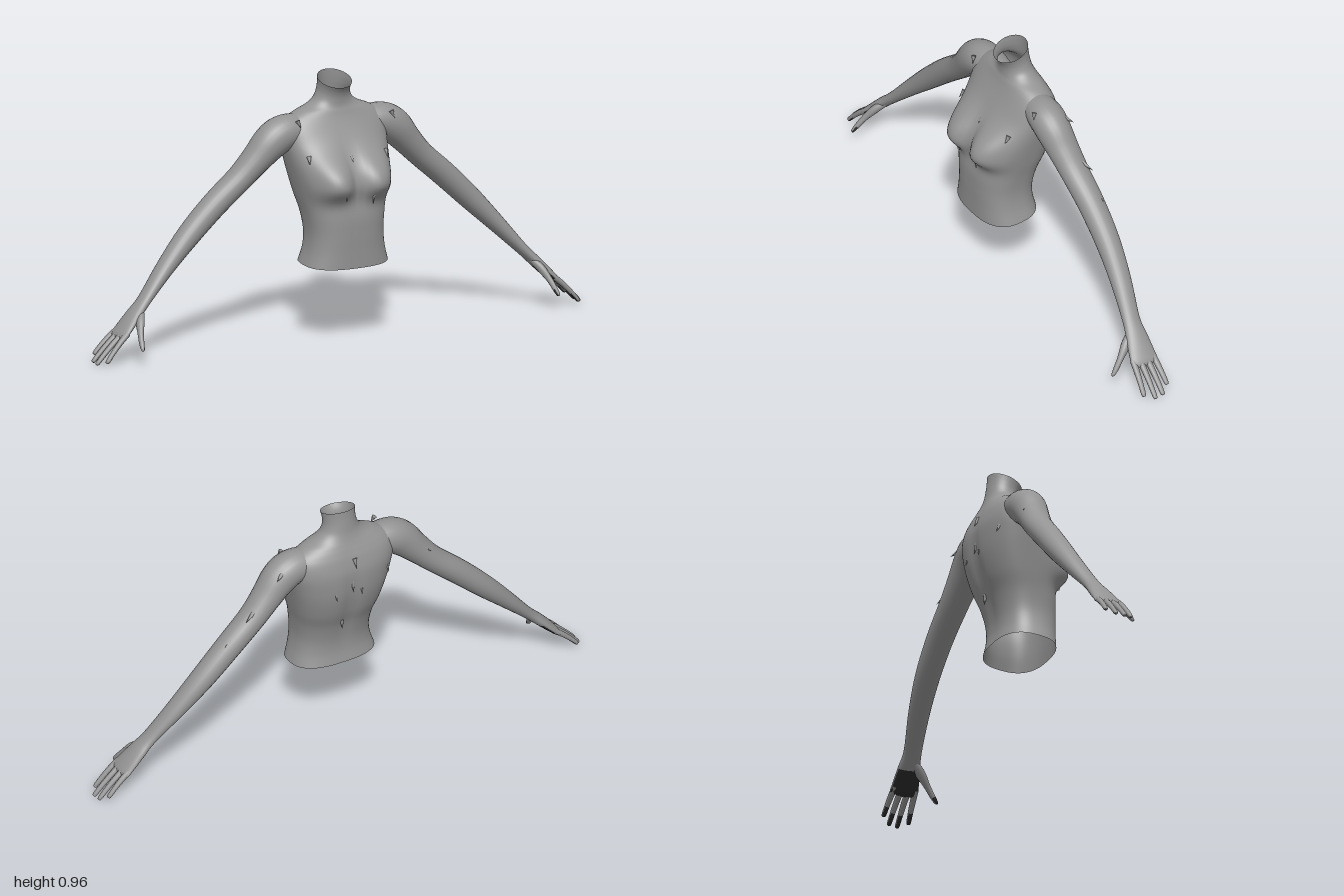
import * as THREE from 'three';

const skin = new THREE.MeshStandardMaterial({ color: 0x939393, side: THREE.DoubleSide });
skin.name = 'matte grey';
const pad = new THREE.MeshStandardMaterial({ color: 0x2c2c2c, side: THREE.DoubleSide });
pad.name = 'dark grip';

// Smooth interpolation through rows of numbers, u from 0 to 1
function sample(rows, u) {
  const last = rows.length - 1;
  const i = Math.min(Math.floor(u * last), last - 1);
  const t = u * last - i;
  const at = k => rows[Math.max(0, Math.min(last, k))];
  return rows[i].map((_, c) => {
    const a = at(i - 1)[c], b = at(i)[c], d = at(i + 1)[c], e = at(i + 2)[c];
    return b + 0.5 * t * (d - a + t * (2 * a - 5 * b + 4 * d - e + t * (3 * (b - d) + e - a)));
  });
}

// Skin of rings; point(u, angle) gives each vertex, isPad(u, angle) picks the dark faces
function loft(rings, sides, point, isPad = () => false) {
  const pos = [], plain = [], dark = [];
  for (let i = 0; i <= rings; i++) {
    for (let j = 0; j < sides; j++) {
      pos.push(...point(i / rings, (j / sides) * Math.PI * 2));
      if (i === rings) continue;
      const a = i * sides + j, b = i * sides + (j + 1) % sides;
      const list = isPad((i + 0.5) / rings, ((j + 0.5) / sides) * Math.PI * 2) ? dark : plain;
      list.push(a, b, a + sides, b, b + sides, a + sides);
    }
  }
  const g = new THREE.BufferGeometry();
  g.setAttribute('position', new THREE.Float32BufferAttribute(pos, 3));
  g.setIndex([...plain, ...dark]);
  g.addGroup(0, plain.length, 0);
  if (dark.length) g.addGroup(plain.length, dark.length, 1);
  g.computeVertexNormals();
  return g;
}

function add(group, name, geometry, material = skin) {
  const mesh = new THREE.Mesh(geometry, material);
  mesh.name = name;
  group.add(mesh);
  return mesh;
}

// Limb through rows of x, y, z, thickness radius, breadth radius;
// the palm side is dark between padStart and padEnd
function limb(rows, side, rings, sides, padStart, padEnd) {
  const Z = new THREE.Vector3(0, 0, 1);
  const centre = u => {
    const r = sample(rows, u);
    return new THREE.Vector3(r[0] * side, r[1], r[2]);
  };
  const point = (u, a) => {
    const r = sample(rows, u);
    const t = centre(Math.min(1, u + 0.01)).sub(centre(Math.max(0, u - 0.01))).normalize();
    const n = new THREE.Vector3().crossVectors(Z, t).normalize();
    const m = new THREE.Vector3().crossVectors(t, n);
    return centre(u)
      .addScaledVector(n, Math.max(0, r[3]) * Math.cos(a))
      .addScaledVector(m, Math.max(0, r[4]) * Math.sin(a)).toArray();
  };
  return loft(rings, sides, point,
    (u, a) => u > padStart && u < padEnd && side * Math.cos(a) < -0.3);
}

// Torso rows: y, half width, front z, back z, tilt of the ring
const torsoRows = [
  [0.285, 0.166, 0.135, -0.09, -0.09],
  [0.34, 0.15, 0.136, -0.082, -0.04],
  [0.40, 0.144, 0.138, -0.085, 0],
  [0.47, 0.152, 0.137, -0.103, 0],
  [0.54, 0.168, 0.122, -0.132, 0],
  [0.61, 0.183, 0.108, -0.152, 0],
  [0.67, 0.195, 0.088, -0.16, 0],
  [0.73, 0.204, 0.058, -0.16, 0],
  [0.78, 0.202, 0.032, -0.148, 0],
  [0.81, 0.185, 0.018, -0.136, 0],
  [0.832, 0.15, 0.01, -0.126, 0],
  [0.85, 0.106, 0.005, -0.118, -0.03],
  [0.87, 0.077, 0.004, -0.111, -0.1],
  [0.895, 0.064, 0.006, -0.106, -0.2],
  [0.92, 0.061, 0.013, -0.102, -0.3],
  [0.943, 0.063, 0.025, -0.1, -0.36],
];

function torsoPoint(u, a) {
  const [y0, w, front, back, tilt] = sample(torsoRows, u);
  const s = Math.sin(a), c = Math.cos(a);
  const box = 2 / (2 + 0.6 * THREE.MathUtils.smoothstep(0.86 - y0, 0, 0.1));
  const x = w * Math.sign(s) * Math.abs(s) ** box;
  const dz = (front - back) / 2 * Math.sign(c) * Math.abs(c) ** box;
  let z = (front + back) / 2 + dz;
  if (c > 0) { // bust
    const h = Math.abs(x) - 0.085;
    const across = Math.abs(h / (h > 0 ? 0.085 : 0.074)) ** 2.5;
    const v = Math.abs((y0 - 0.59) / (y0 > 0.59 ? 0.092 : 0.06)) ** 2.3;
    z += 0.07 * Math.min(1, c * 2.5) * Math.exp(-across - v);
  } else { // spine hollow
    z += 0.012 * Math.exp(-((x / 0.028) ** 2) - (((y0 - 0.58) / 0.16) ** 2));
  }
  return [x, y0 + tilt * dz, z];
}

const armRows = [
  [0.07, 0.775, -0.055, 0.04, 0.045],
  [0.14, 0.77, -0.055, 0.056, 0.058],
  [0.205, 0.762, -0.054, 0.065, 0.066],
  [0.255, 0.732, -0.055, 0.065, 0.065],
  [0.31, 0.675, -0.062, 0.054, 0.059],
  [0.374, 0.61, -0.07, 0.047, 0.054],
  [0.475, 0.522, -0.077, 0.046, 0.05],
  [0.58, 0.422, -0.077, 0.042, 0.046],
  [0.68, 0.32, -0.066, 0.032, 0.04],
  [0.78, 0.213, -0.046, 0.021, 0.034],
  [0.83, 0.163, -0.039, 0.02, 0.043],
  [0.872, 0.12, -0.033, 0.017, 0.051],
  [0.898, 0.094, -0.03, 0.012, 0.05],
  [0.906, 0.086, -0.03, 0, 0],
];

// Fingers: base z, tip x, tip y, tip z
const fingers = [
  [0.01, 0.973, 0.014, 0.023],
  [-0.016, 0.996, 0.004, -0.012],
  [-0.043, 0.994, 0.007, -0.045],
  [-0.07, 0.972, 0.027, -0.076],
];

const thumbRows = [
  [0.805, 0.18, -0.035, 0.012, 0.016],
  [0.826, 0.15, 0.005, 0.015, 0.019],
  [0.843, 0.113, 0.04, 0.011, 0.012],
  [0.853, 0.08, 0.067, 0.009, 0.01],
  [0.857, 0.062, 0.083, 0.006, 0.006],
  [0.858, 0.059, 0.086, 0, 0],
];

function arm(side) {
  const g = new THREE.Group();
  g.name = side > 0 ? 'leftArm' : 'rightArm';
  const coats = [skin, pad];
  add(g, 'armAndPalm', limb(armRows, side, 65, 24, 0.77, 0.95), coats);
  fingers.forEach(([bz, x, y, z], i) => {
    const rows = [0, 0.35, 0.7, 0.97, 1].map((t, k) => {
      const r = [0.012, 0.0112, 0.0098, 0.008, 0][k];
      return [0.88 + (x - 0.88) * t, 0.11 + (y - 0.11) * t + 0.006 * Math.sin(t * Math.PI),
        bz + (z - bz) * t, r * 0.9, r];
    });
    add(g, 'finger' + (i + 1), limb(rows, side, 20, 12, 0.5, 1), coats);
  });
  add(g, 'thumb', limb(thumbRows, side, 20, 12, 0.62, 1), coats);
  return g;
}

// Small drooping thorns: base x, y, z, direction x, y, z, length
const thorns = [
  [-0.175, 0.81, 0.008, 0.3, -0.9, 0.35, 0.03], [0.215, 0.8, 0.002, 0.3, -0.8, 0.3, 0.03],
  [-0.16, 0.685, 0.062, -0.2, -0.9, 0.6, 0.035], [0.15, 0.68, 0.072, 0.1, -0.9, 0.6, 0.035],
  [0, 0.675, 0.088, 0, -0.6, 0.7, 0.025],
  [-0.055, 0.565, 0.155, 0, -1, -0.05, 0.045], [0.06, 0.55, 0.15, -0.1, -1, -0.05, 0.05],
  [-0.01, 0.775, -0.148, 0, -0.9, -0.45, 0.04], [0, 0.68, -0.148, 0, -1, -0.25, 0.05],
  [-0.035, 0.665, -0.148, 0, -1, -0.25, 0.055], [0.07, 0.66, -0.147, 0, -0.95, -0.35, 0.045],
  [-0.155, 0.7, -0.125, 0, -0.9, -0.45, 0.045], [0.02, 0.49, -0.104, 0, -1, -0.15, 0.04],
  [0.27, 0.775, -0.1, 0.8, -0.3, -0.5, 0.04], [0.39, 0.645, -0.1, 0.8, -0.35, -0.35, 0.05],
  [0.475, 0.565, -0.096, 0.8, -0.5, -0.3, 0.05],
  [-0.24, 0.79, -0.085, -0.6, -0.3, -0.6, 0.035], [-0.32, 0.7, -0.1, -0.6, -0.5, -0.5, 0.045],
  [-0.46, 0.56, -0.11, -0.6, -0.5, -0.4, 0.035],
];

export function createModel() {
  const model = new THREE.Group();
  model.name = 'bust';
  add(model, 'torsoAndNeck', loft(90, 72, torsoPoint));
  model.add(arm(1), arm(-1));

  const thornGroup = new THREE.Group();
  thornGroup.name = 'thorns';
  const up = new THREE.Vector3(0, 1, 0);
  thorns.forEach(([x, y, z, dx, dy, dz, length], i) => {
    const thorn = add(thornGroup, 'thorn' + (i + 1), new THREE.ConeGeometry(0.009, length, 10));
    const dir = new THREE.Vector3(dx, dy, dz).normalize();
    thorn.quaternion.setFromUnitVectors(up, dir);
    thorn.position.set(x, y, z).addScaledVector(dir, length * 0.3);
  });
  model.add(thornGroup);
  return model;
}
